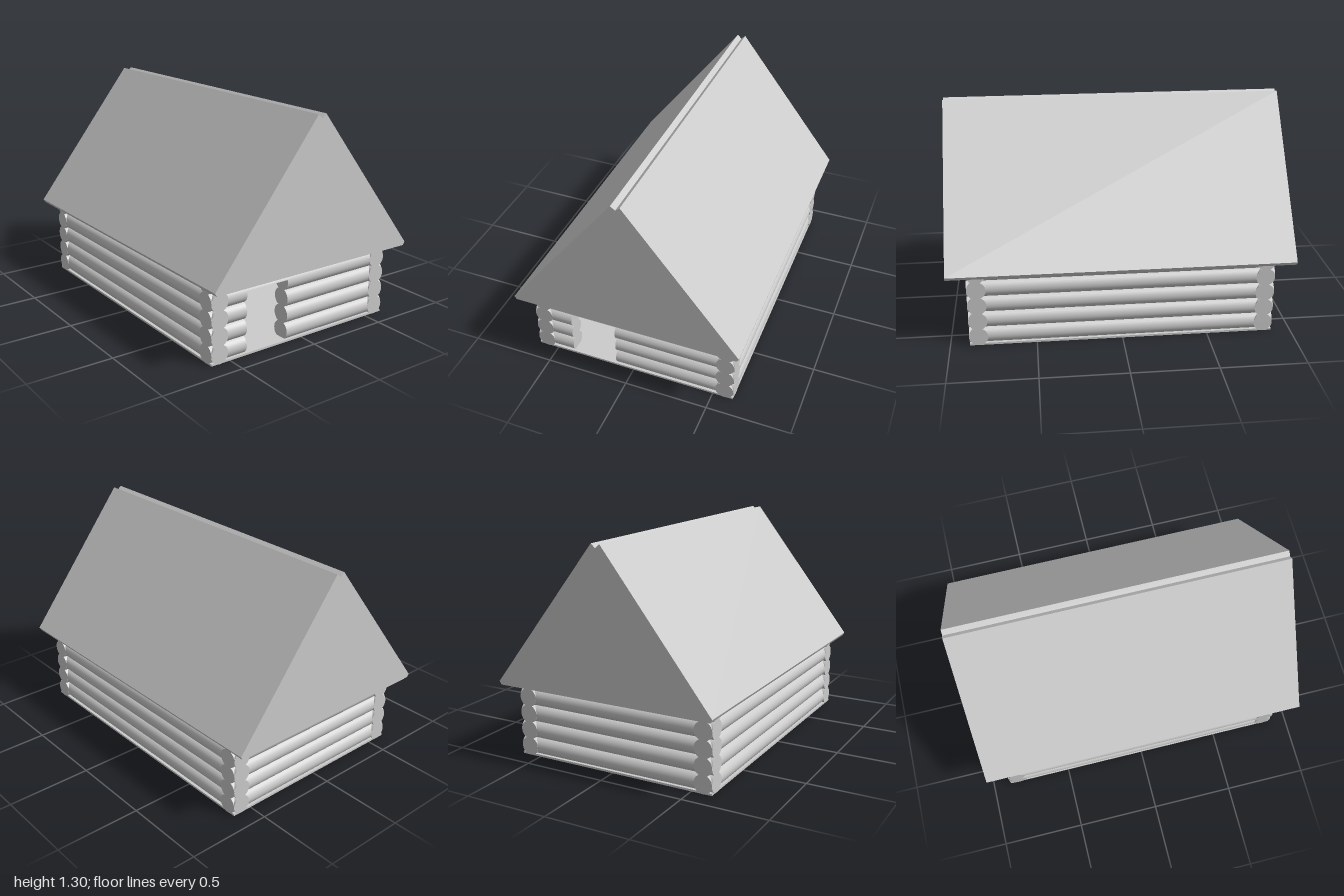
import * as THREE from 'three';

const R = 0.055, PITCH = 0.099, ROWS = 5;
const HX = 0.625, HZ = 0.89;            // half footprint of the walls
const DOOR = [-0.39, -0.11];

export function createModel() {
  const group = new THREE.Group();
  group.name = 'logCabin';
  const grey = new THREE.MeshStandardMaterial({ color: 0xcccccc });

  const add = (name, geometry, parent = group) => {
    const mesh = new THREE.Mesh(geometry, grey);
    mesh.name = name;
    parent.add(mesh);
    return mesh;
  };
  const rowY = (i) => R + i * PITCH;

  // Log lying along x from x0 to x1
  const logX = (parent, x0, x1, y, z) => {
    const geo = new THREE.CylinderGeometry(R, R, x1 - x0, 32).rotateZ(Math.PI / 2);
    add('log', geo, parent).position.set((x0 + x1) / 2, y, z);
  };

  const walls = {};
  for (const name of ['frontWall', 'backWall', 'leftWall', 'rightWall']) {
    walls[name] = new THREE.Group();
    walls[name].name = name;
    group.add(walls[name]);
  }

  for (let i = 0; i < ROWS; i++) {
    const y = rowY(i);
    // Side walls, logs along z
    for (const [name, s] of [['leftWall', 1], ['rightWall', -1]]) {
      const geo = new THREE.CylinderGeometry(R, R, HZ * 2, 32).rotateX(Math.PI / 2);
      add('log', geo, walls[name]).position.set(s * (HX - R), y, 0);
    }
    // Back wall, and front wall split around the doorway
    logX(walls.backWall, -HX, HX, y, -HZ + R);
    if (i < 4) {
      logX(walls.frontWall, -HX, DOOR[0], y, HZ - R);
      logX(walls.frontWall, DOOR[1], HX, y, HZ - R);
    } else {
      logX(walls.frontWall, -HX, HX, y, HZ - R);
    }
  }

  // Upper part of the fourth log, left above the doorway
  const segment = new THREE.Shape();
  segment.absarc(0, 0, R, -0.1, Math.PI - 0.36, false);
  segment.closePath();
  const lintel = new THREE.ExtrudeGeometry(segment, {
    depth: DOOR[1] - DOOR[0], bevelEnabled: false, curveSegments: 20,
  }).rotateY(Math.PI / 2);
  add('doorLintel', lintel, walls.frontWall).position.set(DOOR[0], rowY(3), HZ - R);

  // Floor slab reaching under the walls and through the doorway
  add('floor', new THREE.BoxGeometry(HX * 2 - 0.004, 0.012, HZ * 2 - 0.004)).position.y = 0.006;

  // Solid gabled roof with clipped eaves and a notched ridge
  const profile = new THREE.Shape([
    [-0.668, 0.447], [0.668, 0.447], [0.68, 0.467], [0.026, 1.303],
    [0, 1.28], [-0.026, 1.303], [-0.68, 0.467],
  ].map(([x, y]) => new THREE.Vector2(x, y)));
  add('roof', new THREE.ExtrudeGeometry(profile, { depth: 2, bevelEnabled: false })).position.z = -1;

  return group;
}
